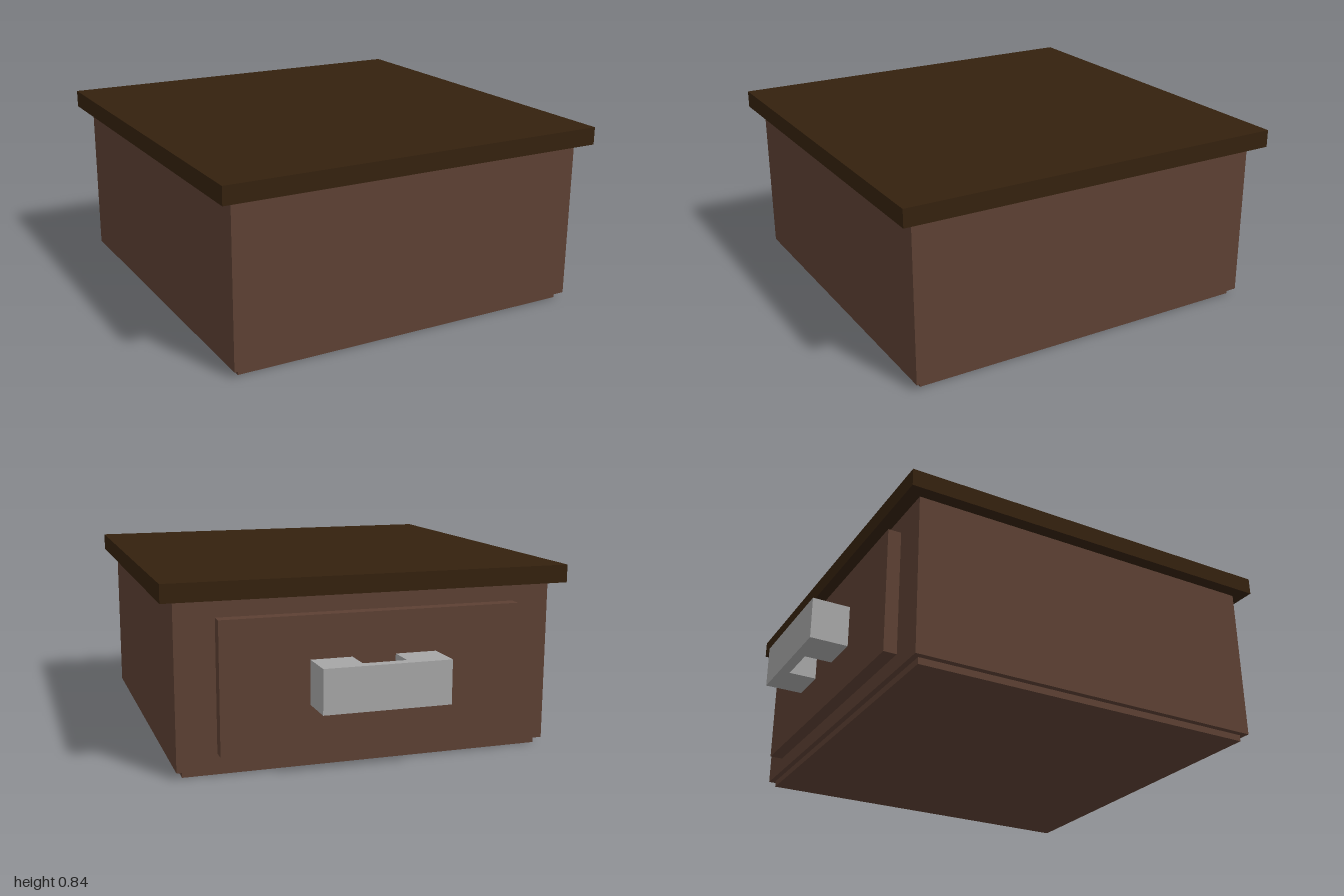
import * as THREE from 'three';

export function createModel() {
  const group = new THREE.Group();
  const material = (name, color) => {
    const m = new THREE.MeshStandardMaterial({ color });
    m.name = name;
    return m;
  };
  const brown = material('brown wood', 0x5c4033);
  const dark = material('dark wood', 0x34210e);
  const grey = material('grey metal', 0xa6a6a6);

  // Box centred on x, given its width and its y and z ranges
  const slab = (name, mat, width, y0, y1, z0, z1) => {
    const mesh = new THREE.Mesh(new THREE.BoxGeometry(width, y1 - y0, z1 - z0), mat);
    mesh.position.set(0, (y0 + y1) / 2, (z0 + z1) / 2);
    mesh.name = name;
    group.add(mesh);
  };

  slab('base', brown, 1.645, 0, 0.03, -0.74, 0.912);
  slab('cabinetBody', brown, 1.7, 0.03, 0.76, -0.765, 0.94);
  slab('topBoard', dark, 1.82, 0.76, 0.84, -0.828, 1);
  slab('drawerFront', brown, 1.35, 0.1, 0.68, -0.825, -0.765);

  // U-shaped handle: outline in x and z, extruded upwards
  const outline = [
    [-0.285, 0.825], [-0.285, 1], [0.285, 1], [0.285, 0.825],
    [0.098, 0.825], [0.098, 0.952], [-0.098, 0.952], [-0.098, 0.825],
  ];
  const shape = new THREE.Shape(outline.map(([x, z]) => new THREE.Vector2(x, z)));
  const handleGeometry = new THREE.ExtrudeGeometry(shape, { depth: 0.195, bevelEnabled: false });
  handleGeometry.rotateX(-Math.PI / 2);
  const handle = new THREE.Mesh(handleGeometry, grey);
  handle.position.y = 0.295;
  handle.name = 'drawerHandle';
  group.add(handle);

  return group;
}
